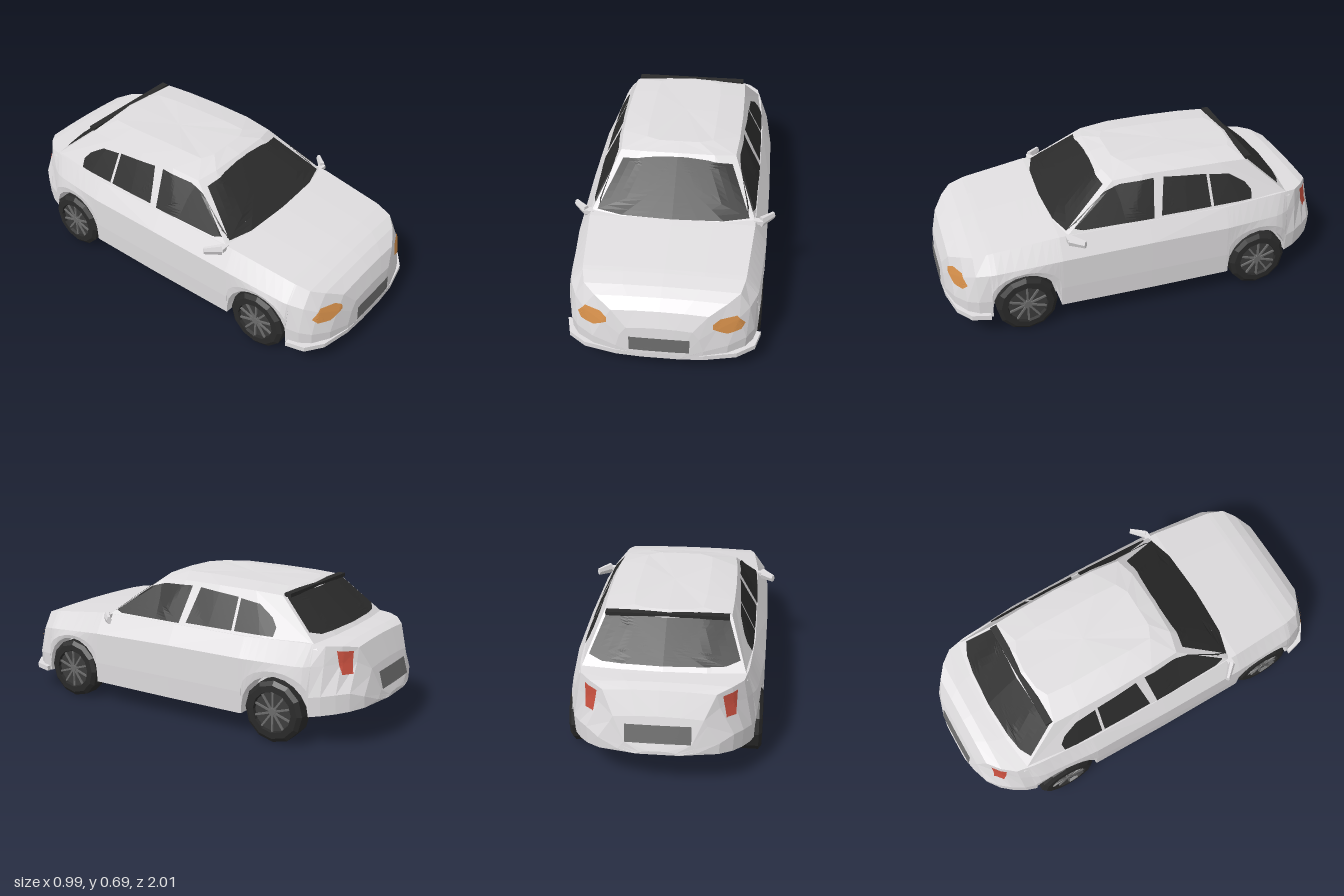
import * as THREE from 'three';

const mat = (name, color) => Object.assign(new THREE.MeshStandardMaterial({ color }), { name });

// faceted geometry from any other
function faceted(g) {
  const f = g.index ? g.toNonIndexed() : g;
  f.computeVertexNormals();
  return f;
}

function fromTriangles(tris) {
  const g = new THREE.BufferGeometry();
  g.setAttribute('position', new THREE.Float32BufferAttribute(tris.flatMap(p => [p.x, p.y, p.z]), 3));
  g.computeVertexNormals();
  return g;
}

// closed ring from its +x half (both end points lie on the middle plane)
function mirrorRing(half) {
  const right = half.map(p => new THREE.Vector3(...p));
  const left = right.slice(1, -1).reverse().map(p => new THREE.Vector3(-p.x, p.y, p.z));
  return [...right, ...left];
}

// skin over closed rings, with both ends capped and mirrored diagonals
function loft(rings) {
  const t = [], n = rings[0].length;
  const mid = r => r.reduce((s, p) => s.add(p), new THREE.Vector3()).divideScalar(n);
  const first = rings[0], last = rings[rings.length - 1];
  const c0 = mid(first), c1 = mid(last);
  for (let i = 0; i < n; i++) {
    const j = (i + 1) % n;
    for (let k = 0; k + 1 < rings.length; k++) {
      const a = rings[k][i], b = rings[k + 1][i], c = rings[k + 1][j], d = rings[k][j];
      t.push(...(i < n / 2 ? [a, b, c, a, c, d] : [a, b, d, b, c, d]));
    }
    t.push(c0, first[i], first[j], c1, last[j], last[i]);
  }
  return fromTriangles(t);
}

// body stations: z, underside y, half width, shoulder half width, shoulder y, top half width, top y
const STATIONS = [
  [1, .11, .1, .09, .125, .08, .13], [.99, .11, .2, .18, .23, .15, .275], [.96, .11, .31, .26, .28, .22, .35],
  [.91, .11, .39, .355, .31, .3, .388], [.86, .11, .425, .4, .33, .355, .41], [.78, .11, .447, .435, .345, .375, .428],
  [.45, .11, .458, .458, .37, .4, .47], [0, .11, .46, .46, .38, .405, .475], [-.4, .11, .455, .455, .38, .405, .475],
  [-.7, .14, .435, .425, .38, .385, .485], [-.8, .16, .405, .38, .39, .365, .48], [-.86, .17, .37, .325, .4, .315, .478],
  [-.91, .18, .33, .265, .4, .25, .465], [-.955, .19, .27, .215, .33, .2, .36], [-.985, .2, .18, .165, .23, .15, .25],
  [-1, .2, .1, .09, .205, .08, .21],
];
const AXLES = [.63, -.58], WHEEL_Y = .15, ARCH = .167;

function stationAt(z) {
  let i = 0;
  while (i < STATIONS.length - 2 && STATIONS[i + 1][0] > z) i++;
  const a = STATIONS[i], b = STATIONS[i + 1], t = (a[0] - z) / (a[0] - b[0]);
  return a.map((v, k) => v + (b[k] - v) * t);
}

function bodyRing(z, archY = 0) {
  const [, yb, w, ws, ysh, xt, yt] = stationAt(z);
  const ya = Math.max(yb, archY), xi = Math.min(.34, w * .8);
  return mirrorRing([
    [0, yb, z], [xi, yb, z], [xi, ya, z], [w - .005, ya, z], [w, ya + (ysh - ya) * .4, z],
    [ws, ysh, z], [xt, yt, z], [xt * .5, yt + .006, z], [0, yt + .008, z],
  ]);
}

// lower body with the wheel arches cut into its sections
function bodyGeometry() {
  const cuts = STATIONS.map(s => [s[0], 0]).filter(([z]) => AXLES.every(a => Math.abs(z - a) > ARCH));
  for (const a of AXLES) {
    cuts.push([a + ARCH, 0]);
    for (let i = 0; i <= 10; i++) {
      const t = i / 10 * Math.PI;
      cuts.push([a + ARCH * Math.cos(t), WHEEL_Y + ARCH * Math.sin(t)]);
    }
    cuts.push([a - ARCH, 0]);
  }
  // stable sort keeps the step at each arch end in order
  cuts.sort((p, q) => (Math.abs(p[0] - q[0]) < 1e-9 ? 0 : q[0] - p[0]));
  return loft(cuts.map(([z, y]) => bodyRing(z, y)));
}

// cabin from roof crown down to the belt line
function cabinGeometry() {
  const crown = [[0, .695, .1], [.1, .695, .1], [.165, .692, .07], [.17, .694, -.05], [.17, .692, -.2],
    [.17, .687, -.38], [.16, .682, -.5], [.1, .682, -.53], [0, .683, -.54]];
  const edge = [[0, .678, .18], [.18, .674, .175], [.285, .662, .15], [.297, .675, 0], [.302, .675, -.2],
    [.3, .672, -.4], [.295, .665, -.54], [.18, .669, -.56], [0, .671, -.57]];
  const belt = [[0, .46, .475], [.25, .46, .465], [.403, .46, .42], [.41, .46, .1], [.41, .46, -.2],
    [.405, .46, -.5], [.38, .46, -.77], [.2, .46, -.8], [0, .46, -.81]];
  return loft([crown, edge, belt].map(mirrorRing));
}

// thin plate laid on a surface: a convex outline projected along an axis
function plateGeometry(targets, outline, place, dir) {
  const pts = [], ray = new THREE.Raycaster(), STEPS = 8;
  outline.forEach((p, i) => {
    const q = outline[(i + 1) % outline.length];
    for (let k = 0; k < 6; k++) pts.push([p[0] + (q[0] - p[0]) * k / 6, p[1] + (q[1] - p[1]) * k / 6]);
  });
  // the tiny shift keeps rays off the seams between facets
  const c = [0, 1].map(k => pts.reduce((s, p) => s + p[k], 0) / pts.length + 2e-4);
  const project = (p, scale) => {
    let hit;
    for (let s = scale; !hit && s > -.5; s -= .02) {
      ray.set(place(c[0] + (p[0] - c[0]) * s, c[1] + (p[1] - c[1]) * s), dir);
      hit = ray.intersectObjects(targets)[0];
    }
    return hit.point.addScaledVector(dir, -.007);
  };
  const rings = Array.from({ length: STEPS }, (_, k) => pts.map(p => project(p, 1 - k / STEPS)));
  const centre = project(pts[0], 0);
  const tris = [], n = pts.length;
  const add = (a, b, d) => {
    const normal = b.clone().sub(a).cross(d.clone().sub(a));
    tris.push(a, ...(normal.dot(dir) > 0 ? [d, b] : [b, d]));
  };
  for (let i = 0; i < n; i++) {
    const j = (i + 1) % n;
    for (let k = 0; k + 1 < STEPS; k++) {
      add(rings[k][i], rings[k][j], rings[k + 1][j]);
      add(rings[k][i], rings[k + 1][j], rings[k + 1][i]);
    }
    add(rings[STEPS - 1][i], rings[STEPS - 1][j], centre);
  }
  return fromTriangles(tris);
}

export function createModel() {
  const car = new THREE.Group();
  car.name = 'car';
  const paint = mat('silver paint', 0xdfdddf), glass = mat('dark glass', 0x2b2b2b);
  const rubber = mat('tyre rubber', 0x2a2a2a), rimDark = mat('rim shadow', 0x3c3c3c);
  const spokeGrey = mat('spoke metal', 0x6c6c6c), plateGrey = mat('plate grey', 0x6c6c6c);
  const amber = mat('amber lamp', 0xd58f4a), red = mat('red lamp', 0xc8503f);
  const add = (name, geometry, material, parent = car) => {
    const m = new THREE.Mesh(geometry, material);
    m.name = name;
    parent.add(m);
    return m;
  };

  const body = add('body', bodyGeometry(), paint);
  const cabin = add('cabin', cabinGeometry(), paint);
  const shell = [body, cabin];
  const symmetric = half => [...half, ...half.map(([x, y]) => [-x, y]).reverse()];

  // lip under the front bumper, drawn in plan
  const lip = new THREE.Shape(symmetric([[.456, .81], [.432, .9], [.35, .96], [.2, .993], [.08, 1]])
    .map(([x, z]) => new THREE.Vector2(x, -z)));
  add('bumperLip', faceted(new THREE.ExtrudeGeometry(lip, { depth: .025, bevelEnabled: false })
    .rotateX(-Math.PI / 2).translate(0, .107, 0)), paint);

  // plates on the front (end = 1) or the back (end = -1)
  const endPlate = (name, m, outline, end) => add(name, plateGeometry(shell, outline,
    (x, y) => new THREE.Vector3(x, y, 3 * end), new THREE.Vector3(0, 0, -end)), m);
  endPlate('windscreen', glass, symmetric([[.37, .48], [.27, .642], [.15, .66], [.04, .668]]), 1);
  endPlate('rearWindow', glass, symmetric([[.28, .508], [.343, .525], [.285, .655], [.1, .663]]), -1);
  endPlate('frontPlate', plateGrey, symmetric([[.138, .155], [.138, .23]]), 1);
  endPlate('rearPlate', plateGrey, symmetric([[.147, .253], [.147, .333]]), -1);

  const sideWindows = {
    frontWindow: [[.4, .484], [.2, .625], [.12, .648], [-.05, .657], [-.025, .484]],
    middleWindow: [[-.065, .49], [-.1, .655], [-.32, .637], [-.325, .49]],
    rearQuarterWindow: [[-.34, .49], [-.335, .633], [-.44, .62], [-.52, .57], [-.55, .53], [-.545, .49]],
  };
  const headlamp = [[.24, .31], [.27, .328], [.345, .328], [.383, .275], [.365, .252], [.305, .248], [.24, .285]];
  const tailLamp = [[.277, .452], [.338, .458], [.335, .35], [.295, .352]];

  // wheel parts, turned about the axle with the outer side at +x
  const turn = (profile, sides) => faceted(new THREE.LatheGeometry(
    profile.map(([r, x]) => new THREE.Vector2(r, x)), sides).rotateZ(-Math.PI / 2));
  const tyre = turn([[0, 0], [.145, 0], [.15, .015], [.15, .093], [.13, .108], [.1, .11], [.096, .095]], 12);
  const rim = turn([[.1, .094], [0, .094]], 12);
  const hub = turn([[.022, .092], [.018, .106], [0, .106]], 10);
  const spoke = faceted(new THREE.BoxGeometry(.008, .082, .009).translate(.1, .055, 0));

  for (const s of [1, -1]) {
    const side = s > 0 ? 'left' : 'right';
    for (const [name, outline] of Object.entries(sideWindows))
      add(`${side} ${name}`, plateGeometry([cabin], outline,
        (z, y) => new THREE.Vector3(2 * s, y, z), new THREE.Vector3(-s, 0, 0)), glass);
    endPlate(`${side} headlamp`, amber, headlamp.map(([x, y]) => [x * s, y]), 1);
    endPlate(`${side} tailLamp`, red, tailLamp.map(([x, y]) => [x * s, y]), -1);

    // door mirror: tapered pod swept back
    const pod = faceted(new THREE.CylinderGeometry(.02, .03, .085, 6).scale(1, 1, .6).rotateZ(-Math.PI / 2));
    const mirror = add(`${side} mirror`, pod, paint);
    mirror.position.set(.455 * s, .461, .375);
    mirror.rotation.y = s > 0 ? .8 : Math.PI - .8;
    const arm = add(`${side} mirrorArm`, faceted(new THREE.BoxGeometry(.05, .02, .03)), paint);
    arm.position.set(.41 * s, .462, .405);

    for (const z of AXLES) {
      const wheel = new THREE.Group();
      wheel.name = `${side} ${z > 0 ? 'front' : 'rear'} wheel`;
      wheel.position.set(.345 * s, WHEEL_Y, z);
      if (s < 0) wheel.rotation.y = Math.PI;
      add('tyre', tyre, rubber, wheel);
      add('rim', rim, rimDark, wheel);
      add('hub', hub, spokeGrey, wheel);
      for (let i = 0; i < 10; i++) add('spoke', spoke, spokeGrey, wheel).rotation.x = i * Math.PI / 5;
      car.add(wheel);
    }
  }

  // dark lip at the back of the roof
  add('roofSpoiler', faceted(new THREE.BoxGeometry(.57, .018, .035)), glass).position.set(0, .667, -.56);
  return car;
}
